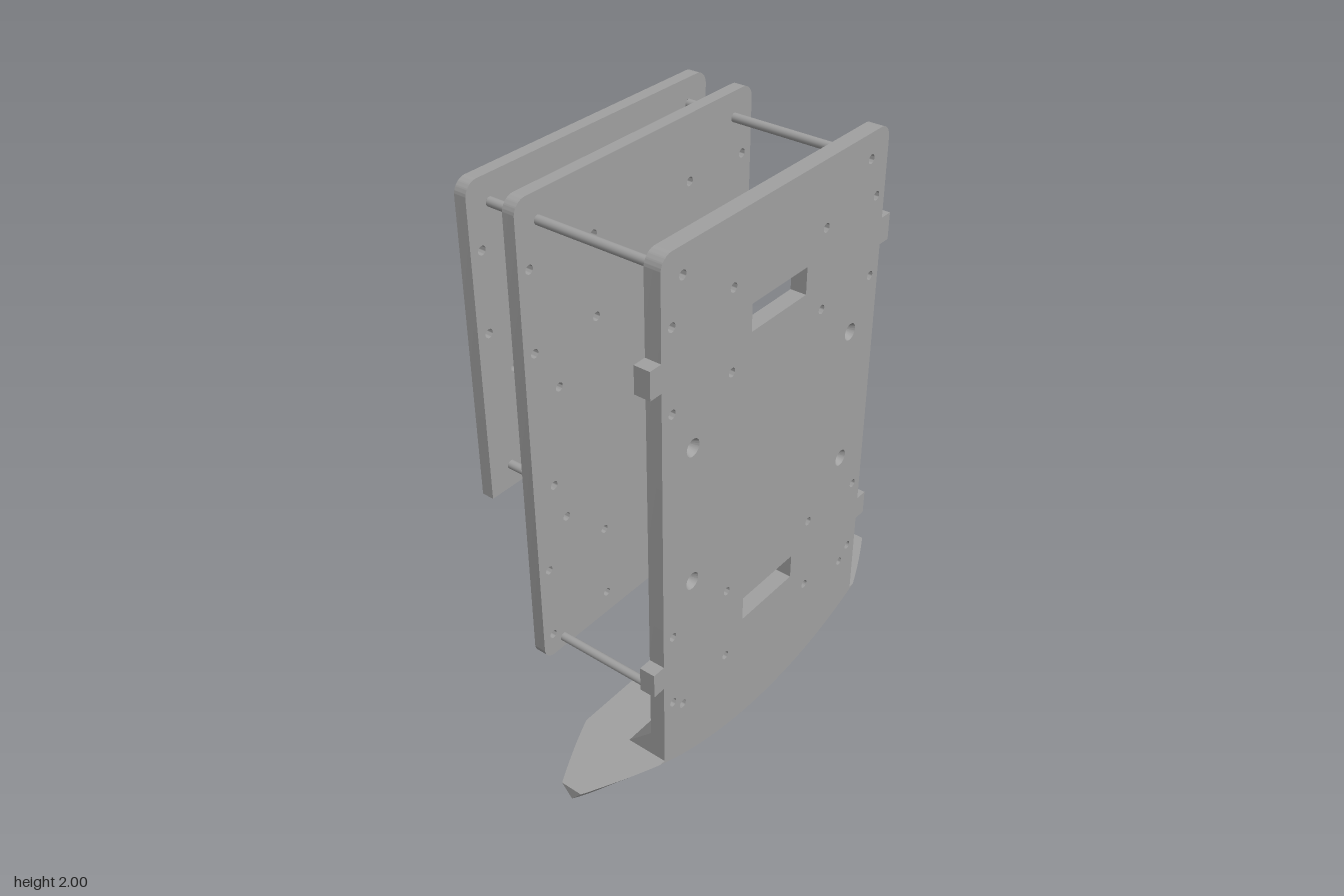
import * as THREE from 'three';
import { toCreasedNormals } from 'three/addons/utils/BufferGeometryUtils.js';

const HALF = 0.52;                 // half width of every plate
const FRONT = 0.35, INNER = 0.297; // z of the front plate's two faces
const DECK = 0.265;                // top of the rocker foot
const HOLE = 0.0145, BORE = 0.028;

export function createModel() {
  const grey = new THREE.MeshStandardMaterial({ color: 0xa0a0a0 });
  grey.name = 'plainGrey';
  const model = new THREE.Group();
  model.name = 'platedRockerFrame';

  const add = (name, geometry, x = 0, y = 0, z = 0) => {
    const mesh = new THREE.Mesh(geometry, grey);
    mesh.name = name;
    mesh.position.set(x, y, z);
    model.add(mesh);
    return mesh;
  };

  // Mirrored hole pattern shared by all plates: [x, y]
  const screwHoles = [];
  for (const y of [1.787, 1.525, 0.745, 0.482]) for (const x of [0.477, 0.217]) screwHoles.push([x, y]);
  const boltHoles = [[0.387, 1.37], [0.387, 0.9]];
  const rodHoles = [[0.433, 1.917], [0.433, 1.045], [0.43, 0.44]];

  // Upright plate with rounded top corners and optionally rounded bottom corners
  function plate(name, y0, zBack, zFront, rBottom, holes, slots = []) {
    const y1 = 2, r = 0.045;
    const s = new THREE.Shape();
    s.moveTo(-HALF + rBottom, y0);
    s.lineTo(HALF - rBottom, y0);
    if (rBottom) s.absarc(HALF - rBottom, y0 + rBottom, rBottom, -Math.PI / 2, 0);
    s.lineTo(HALF, y1 - r);
    s.absarc(HALF - r, y1 - r, r, 0, Math.PI / 2);
    s.lineTo(-HALF + r, y1);
    s.absarc(-HALF + r, y1 - r, r, Math.PI / 2, Math.PI);
    s.lineTo(-HALF, y0 + rBottom);
    if (rBottom) s.absarc(-HALF + rBottom, y0 + rBottom, rBottom, Math.PI, Math.PI * 1.5);
    for (const [x, y, radius = HOLE] of holes) {
      if (y < y0 + 0.03) continue;
      for (const side of [-1, 1]) {
        s.holes.push(new THREE.Path().absarc(side * x, y, radius, 0, Math.PI * 2, true));
      }
    }
    for (const [w, a, b] of slots) {
      s.holes.push(new THREE.Path([[-w, a], [-w, b], [w, b], [w, a]].map(p => new THREE.Vector2(...p))));
    }
    const g = new THREE.ExtrudeGeometry(s, { depth: zFront - zBack, bevelEnabled: false, curveSegments: 16 });
    add(name, toCreasedNormals(g, 0.6), 0, 0, zBack);
  }

  const slots = [[0.13, 1.612, 1.7], [0.13, 0.572, 0.657]];
  plate('frontPlate', DECK, INNER, FRONT, 0,
    [...screwHoles, ...boltHoles.map(([x, y]) => [x, y, BORE]), rodHoles[0], rodHoles[2]], slots);
  plate('middlePlate', 0.4, -0.177, -0.135, 0.045, [...screwHoles, ...boltHoles, ...rodHoles]);
  plate('backPlate', 0.965, -0.352, -0.31, 0, [...screwHoles, ...boltHoles, ...rodHoles]);

  for (const side of [-1, 1]) {
    // Side tabs level with the slots
    for (const [, a, b] of slots) {
      add('sideTab', new THREE.BoxGeometry(0.045, b - a, FRONT - INNER),
        side * (HALF + 0.0225), (a + b) / 2, (FRONT + INNER) / 2);
    }
    // Countersunk sleeves in the large bolt holes
    for (const [x, y] of boltHoles) {
      const profile = [[BORE, 0], [HOLE, 0], [HOLE, 0.028], [BORE, 0.053]].map(p => new THREE.Vector2(...p));
      const g = new THREE.LatheGeometry(profile, 24);
      // Reverse the winding so that the sleeve faces into the hole
      const index = g.index.array;
      for (let i = 0; i < index.length; i += 3) [index[i], index[i + 1]] = [index[i + 1], index[i]];
      g.rotateX(Math.PI / 2);
      const sleeve = toCreasedNormals(g, 0.4);
      add('boltSleeve', sleeve, side * x, y, INNER);
    }
    // Spacer rods: [hole, z start, z end]
    const rods = [[0, -0.31, -0.177], [0, -0.135, INNER], [1, -0.31, -0.177], [2, -0.135, INNER]];
    for (const [hole, z0, z1] of rods) {
      const [x, y] = rodHoles[hole];
      const g = new THREE.CylinderGeometry(HOLE, HOLE, z1 - z0, 20).rotateX(Math.PI / 2);
      add('spacerRod', g, side * x, y, (z0 + z1) / 2);
    }
  }

  // Sloped fillet behind the foot of the front plate
  const wedge = new THREE.Shape([[0.209, DECK], [INNER, DECK], [INNER, 0.352]].map(p => new THREE.Vector2(...p)));
  add('footFillet', new THREE.ExtrudeGeometry(wedge, { depth: HALF * 2, bevelEnabled: false })
    .rotateY(-Math.PI / 2), HALF);

  add('rockerFoot', rockerGeometry());
  return model;
}

// V-keeled rocker: a double cone about a high axis, cut flat on top, front, back and ends
function rockerGeometry() {
  const R = 1.49, W = 0.151, keelZ = 0.199, end = 0.78;
  const corner = Math.sqrt((R - W) ** 2 - (R - DECK) ** 2);
  const xs = [-end];
  for (const [a, b, n] of [[-end, -corner, 8], [-corner, corner, 40], [corner, end, 8]]) {
    for (let i = 1; i <= n; i++) xs.push(a + (b - a) * i / n);
  }
  const positions = [], indices = [], N = 5;
  for (const x of xs) {
    const w = Math.min(W, R - Math.hypot(R - DECK, x));
    const edge = Math.min(DECK, R - Math.sqrt((R - w) ** 2 - x * x));
    const keel = R - Math.sqrt(R * R - x * x);
    for (const [z, y] of [[w, DECK], [w, edge], [0, keel], [-w, edge], [-w, DECK]]) {
      positions.push(x, y, keelZ + z);
    }
  }
  for (let i = 0; i < xs.length - 1; i++) {
    for (let j = 0; j < N; j++) {
      const a = i * N + j, b = i * N + (j + 1) % N;
      indices.push(a, b, b + N, a, b + N, a + N);
    }
  }
  // End caps
  const last = (xs.length - 1) * N;
  for (let j = 1; j < N - 1; j++) {
    indices.push(0, j + 1, j, last, last + j, last + j + 1);
  }
  const g = new THREE.BufferGeometry();
  g.setAttribute('position', new THREE.Float32BufferAttribute(positions, 3));
  g.setIndex(indices);
  return toCreasedNormals(g, 0.3);
}
